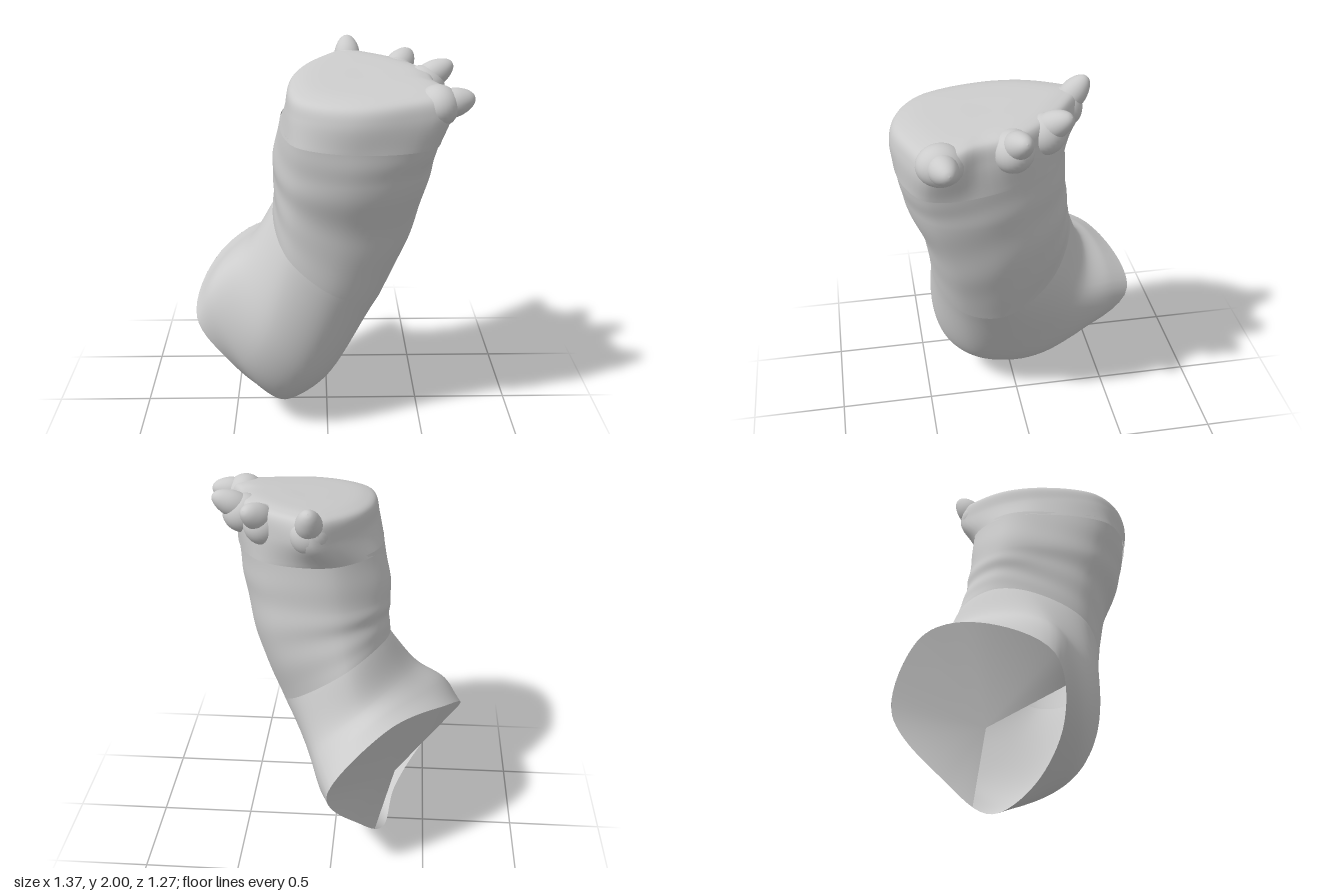
import * as THREE from 'three';

const material = new THREE.MeshStandardMaterial({ color: 0xcccccc, side: THREE.DoubleSide });
const COLS = 64;
const vec = (p) => new THREE.Vector3(...p);
const loop = (ring) => new THREE.CatmullRomCurve3(ring.map(vec), true);

function addMesh(group, name, geometry) {
  const mesh = new THREE.Mesh(geometry, material);
  mesh.name = name;
  group.add(mesh);
  return mesh;
}

function buildGeometry(positions, index) {
  const g = new THREE.BufferGeometry();
  g.setAttribute('position', new THREE.Float32BufferAttribute(positions, 3));
  g.setIndex(index);
  g.computeVertexNormals();
  return g;
}

// Smooth skin through closed rings, listed from bottom to top
function loft(rings, rows, rule) {
  const loops = rings.map(loop);
  const positions = [], index = [];
  const columns = [];
  for (let j = 0; j < COLS; j++) {
    columns.push(new THREE.CatmullRomCurve3(loops.map((c) => c.getPoint(j / COLS))));
  }
  for (let i = 0; i <= rows; i++) {
    for (let j = 0; j < COLS; j++) {
      const p = columns[j].getPoint(i / rows);
      if (rule) rule(p, i / rows, j / COLS);
      positions.push(p.x, p.y, p.z);
      if (i === rows) continue;
      const a = i * COLS + j, b = i * COLS + (j + 1) % COLS;
      index.push(a, a + COLS, b, b, a + COLS, b + COLS);
    }
  }
  return buildGeometry(positions, index);
}

// Lay a flat outline of [x, z] pairs on a tilted plane y = a + b x + c z
const onPlane = (outline, a, b = 0, c = 0) => outline.map(([x, z]) => [x, a + b * x + c * z, z]);
const scaled = (outline, s) => outline.map(([x, z]) => [0.17 + (x - 0.17) * s, 0.18 + (z - 0.18) * s]);

const seam = [[0.29, 0.1], [0.21, 0.32], [0.01, 0.45], [-0.2, 0.4],
  [-0.28, 0.13], [-0.24, -0.1], [-0.07, -0.29], [0.18, -0.18]];
const shinLow = [[0.42, 0.13], [0.35, 0.37], [0.08, 0.49], [-0.18, 0.43],
  [-0.27, 0.14], [-0.24, -0.07], [-0.04, -0.25], [0.28, -0.17]];
const shinHigh = [[0.5, 0.2], [0.44, 0.47], [0.12, 0.59], [-0.16, 0.49],
  [-0.27, 0.18], [-0.25, -0.05], [-0.02, -0.23], [0.33, -0.14]];
const ankle = [[0.53, 0.25], [0.49, 0.51], [0.14, 0.62], [-0.15, 0.53],
  [-0.23, 0.2], [-0.2, -0.02], [0.01, -0.21], [0.36, -0.12]];
const sole = [[0.53, 0.26], [0.58, 0.38], [0.56, 0.5], [0.36, 0.59], [0.14, 0.635], [-0.04, 0.59],
  [-0.16, 0.49], [-0.2, 0.35], [-0.2, 0.18], [-0.18, 0.07], [-0.13, -0.06], [-0.03, -0.2],
  [0.09, -0.3], [0.22, -0.23], [0.37, -0.11], [0.51, 0.1]];

const seamRing = onPlane(seam, 1.005, -0.736, -0.306);
const rim = [[-0.14, 0.22, -0.32], [-0.28, 0.01, -0.07], [-0.33, 0.13, 0.13], [-0.5, 0.38, 0.28],
  [-0.68, 0.64, 0.25], [-0.58, 0.86, -0.11], [-0.29, 0.92, -0.45], [0, 0.65, -0.63]];
const thighRings = [
  rim,
  [[-0.03, 0.25, -0.22], [-0.15, 0.1, 0.06], [-0.25, 0.17, 0.28], [-0.44, 0.44, 0.37],
    [-0.59, 0.81, 0.25], [-0.47, 0.93, -0.1], [-0.22, 0.94, -0.42], [0.04, 0.68, -0.52]],
  [[0.1, 0.44, -0.05], [0.0, 0.28, 0.22], [-0.14, 0.36, 0.4], [-0.33, 0.62, 0.43],
    [-0.43, 0.94, 0.22], [-0.36, 1.02, -0.08], [-0.15, 0.97, -0.36], [0.1, 0.72, -0.34]],
  seamRing,
];

// Partial wall across the open end, leaving a notch at its lower corner
function endWall() {
  const curve = loop(rim);
  const positions = [-0.33, 0.42, -0.1], index = [];
  const steps = 40;
  for (let i = 0; i <= steps; i++) {
    const u = (3.5 + 5.1 * i / steps) / 8;
    positions.push(...curve.getPoint(u % 1).toArray());
    if (i) index.push(0, i, i + 1);
  }
  return buildGeometry(positions, index);
}

// Fleshy pad with a blunt claw growing from base to tip
function makeToe(base, tip, radius, padCentre, padSize) {
  const toe = new THREE.Group();
  toe.name = 'toe';
  const from = vec(base), dir = vec(tip).sub(from);
  const length = dir.length();
  const profile = [[0.9, -0.35], [1.02, 0.05], [0.95, 0.4], [0.68, 0.74], [0.34, 0.94], [0, 1]]
    .map(([r, h]) => new THREE.Vector2(r * radius, h * length));
  const smooth = new THREE.SplineCurve(profile).getPoints(20);
  smooth.forEach((p) => { p.x = Math.max(0, p.x); });
  const claw = addMesh(toe, 'claw', new THREE.LatheGeometry(smooth, 24));
  claw.position.copy(from);
  claw.quaternion.setFromUnitVectors(new THREE.Vector3(0, 1, 0), dir.normalize());
  const pad = addMesh(toe, 'toePad', new THREE.SphereGeometry(1, 28, 20));
  pad.position.set(...padCentre);
  pad.scale.set(...padSize);
  return toe;
}

export function createModel() {
  const model = new THREE.Group();
  model.name = 'clawedLeg';

  addMesh(model, 'thigh', loft(thighRings, 36));
  addMesh(model, 'thighEndWall', endWall());

  // Shin with faint skin folds
  const shinRings = [
    seamRing,
    onPlane(shinLow, 1.25, -0.3, -0.15),
    onPlane(shinHigh, 1.45),
    onPlane(ankle, 1.69, -0.03, -0.06),
  ];
  addMesh(model, 'shin', loft(shinRings, 48, (p, t, u) => {
    const fold = 1 + 0.008 * Math.sin(t * 20 + 3 * Math.sin(u * Math.PI * 2)) * Math.sin(Math.PI * t);
    p.x = 0.1 + (p.x - 0.1) * fold;
    p.z = 0.15 + (p.z - 0.15) * fold;
  }));

  // Foot, flaring from the ankle and closed by the upturned sole
  const ankleLoop = loop(onPlane(scaled(ankle, 1.01), 1.67, -0.03, -0.06));
  const footRings = [
    sole.map((_, k) => ankleLoop.getPoint(k / sole.length).toArray()),
    onPlane(scaled(sole, 1), 1.8, 0.02, -0.06),
    onPlane(scaled(sole, 0.95), 1.895, 0.03, -0.11),
    onPlane(scaled(sole, 0.8), 1.92, 0.03, -0.11),
    onPlane(scaled(sole, 0.4), 1.93, 0.03, -0.11),
    onPlane(scaled(sole, 0), 1.93, 0.03, -0.11),
  ];
  addMesh(model, 'foot', loft(footRings, 40));

  // Four toes along the curved edge of the foot
  [
    [[0.11, 1.9, -0.24], [0.11, 2.0, -0.32], 0.065, [0.11, 1.85, -0.21], [0.1, 0.1, 0.09]],
    [[0.36, 1.88, -0.09], [0.43, 1.95, -0.18], 0.068, [0.35, 1.84, -0.07], [0.1, 0.1, 0.1]],
    [[0.5, 1.87, 0.09], [0.62, 1.935, 0.06], 0.066, [0.47, 1.83, 0.1], [0.11, 0.1, 0.1]],
    [[0.56, 1.82, 0.43], [0.685, 1.845, 0.41], 0.068, [0.51, 1.81, 0.43], [0.1, 0.1, 0.115]],
  ].forEach((toe) => model.add(makeToe(...toe)));

  return model;
}
